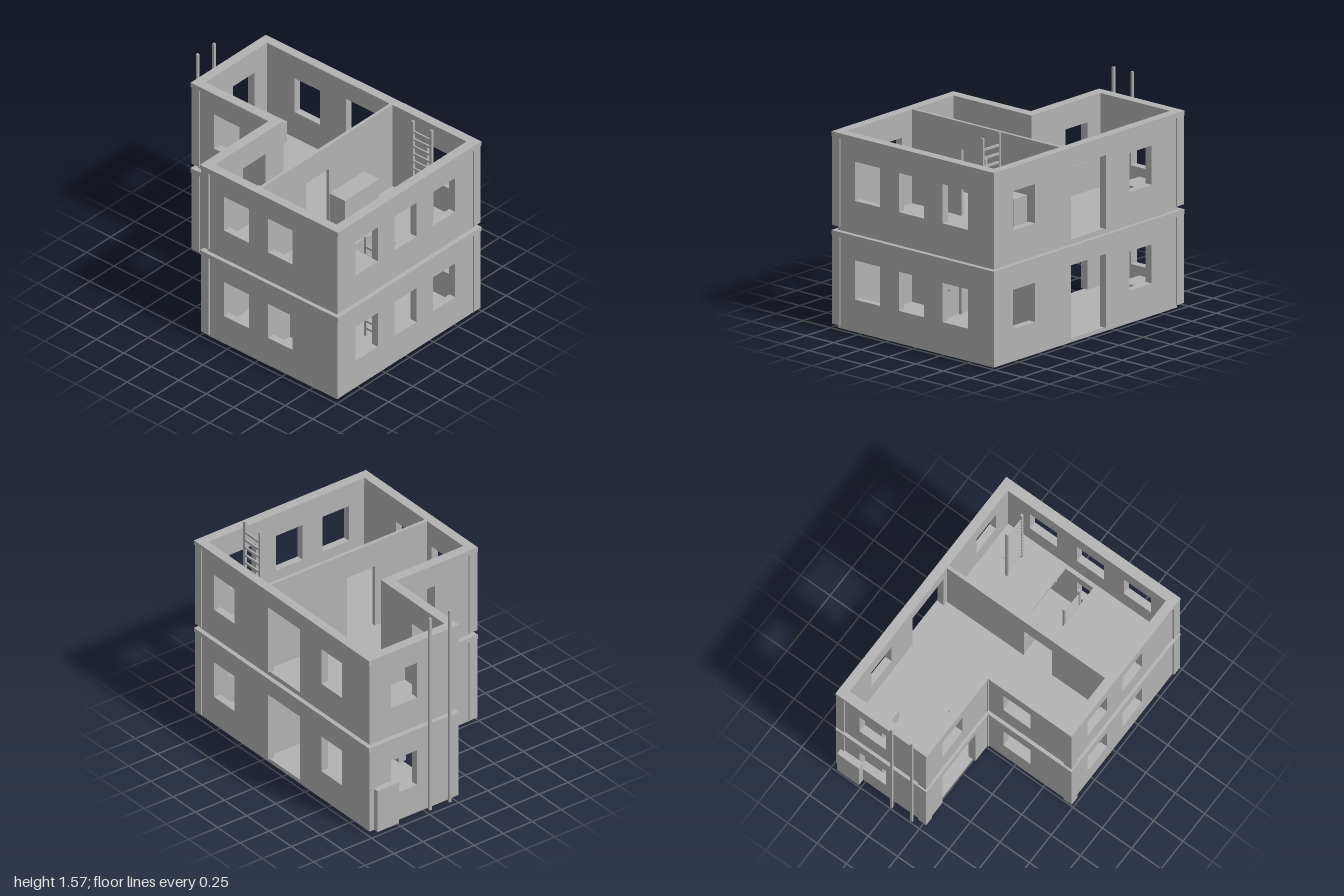
import * as THREE from 'three';

const concrete = new THREE.MeshStandardMaterial({ color: 0xb2b2b2 });
concrete.name = 'grey concrete';

const FLOORS = [0.03, 0.735]; // floor level of each storey
const WALL = 0.635;           // wall height below the top beam
const BEAM = 0.035;

function add(parent, name, geometry) {
  const mesh = new THREE.Mesh(geometry, concrete);
  mesh.name = name;
  parent.add(mesh);
  return mesh;
}

// Box given by its limits on each axis
function block(parent, name, x0, x1, y0, y1, z0, z1) {
  const mesh = add(parent, name, new THREE.BoxGeometry(x1 - x0, y1 - y0, z1 - z0));
  mesh.position.set((x0 + x1) / 2, (y0 + y1) / 2, (z0 + z1) / 2);
  return mesh;
}

// L-shaped plan, with the notch at the front right corner
function planPoints(x0, x1, z0, z1, nx, nz) {
  return [[x0, z0], [x0, nz], [nx, nz], [nx, z1], [x1, z1], [x1, z0]]
    .map(([x, z]) => new THREE.Vector2(x, -z));
}

function rectHole(u0, u1, v0, v1) {
  return new THREE.Path([[u0, v0], [u0, v1], [u1, v1], [u1, v0]].map((p) => new THREE.Vector2(...p)));
}

function slab(parent, name, points, y, height, hole) {
  const shape = new THREE.Shape(points);
  if (hole) shape.holes.push(hole);
  const geo = new THREE.ExtrudeGeometry(shape, { depth: height, bevelEnabled: false });
  geo.rotateX(-Math.PI / 2);
  add(parent, name, geo).position.y = y;
}

// Wall panel from u0 to u1 along 'x' or 'z', filling lo..hi across
function wall(parent, name, axis, u0, u1, lo, hi, y, { height = WALL, windows = [], door } = {}) {
  const pts = [[u0, 0]];
  if (door) pts.push([door[0], 0], [door[0], door[2]], [door[1], door[2]], [door[1], 0]);
  pts.push([u1, 0], [u1, height], [u0, height]);
  const shape = new THREE.Shape(pts.map((p) => new THREE.Vector2(...p)));
  for (const [a, b] of windows) shape.holes.push(rectHole(a, b, 0.21, 0.49));
  const geo = new THREE.ExtrudeGeometry(shape, { depth: hi - lo, bevelEnabled: false });
  if (axis === 'z') geo.rotateY(-Math.PI / 2);
  const mesh = add(parent, name, geo);
  if (axis === 'z') mesh.position.set(hi, y, 0);
  else mesh.position.set(0, y, lo);
}

// Ladder with two rails, rungs and small brackets towards the back
function ladder(parent, z, y0) {
  const g = new THREE.Group();
  g.name = 'ladder';
  for (const x of [0.617, 0.787]) {
    block(g, 'ladderRail', x, x + 0.018, y0, y0 + 0.815, z - 0.009, z + 0.009);
    block(g, 'ladderBracket', x + 0.004, x + 0.014, y0 + 0.3, y0 + 0.31, z - 0.044, z - 0.009);
  }
  for (let i = 1; i <= 12; i++) {
    const y = y0 + i * 0.0608;
    block(g, 'ladderRung', 0.635, 0.787, y - 0.008, y + 0.008, z - 0.006, z + 0.006);
  }
  parent.add(g);
}

export function createModel() {
  const model = new THREE.Group();
  model.name = 'twoStoreyHouse';

  FLOORS.forEach((y, level) => {
    const storey = new THREE.Group();
    storey.name = level ? 'upperStorey' : 'lowerStorey';
    model.add(storey);

    // Floor slab, with a ladder hatch upstairs
    const hatch = level ? rectHole(0.53, 0.9, -0.07, 0.17) : null;
    const thick = level ? 0.035 : 0.03;
    slab(storey, 'floorSlab', planPoints(-0.925, 0.965, -0.71, 0.71, -0.215, -0.005), y - thick, thick, hatch);

    // Outer walls, slightly behind the posts
    wall(storey, 'backWall', 'x', -0.89, 0.93, -0.73, -0.675, y,
      { windows: [[-0.64, -0.41], [0.565, 0.79]], door: [-0.17, 0.19, 0.53] });
    wall(storey, 'frontWall', 'x', -0.18, 0.93, 0.67, 0.725, y,
      { windows: [[-0.05, 0.175], [0.35, 0.575]] });
    wall(storey, 'leftWall', 'z', -0.675, 0.675, 0.93, 0.985, y,
      { windows: [[-0.49, -0.26], [-0.09, 0.14], [0.31, 0.54]] });
    wall(storey, 'rightWall', 'z', -0.675, -0.04, -0.95, -0.89, y, { windows: [[-0.545, -0.32]] });
    wall(storey, 'notchFrontWall', 'x', -0.89, -0.25, -0.04, 0.02, y,
      level ? { windows: [[-0.76, -0.53]] } : { door: [-0.76, -0.385, 0.53] });
    wall(storey, 'notchSideWall', 'z', 0.03, 0.67, -0.24, -0.18, y, { windows: [[0.15, 0.38]] });

    // Inner partition with a doorway
    wall(storey, 'partition', 'z', -0.675, 0.67, 0.225, 0.25, y,
      { height: WALL + BEAM, door: [-0.02, 0.22, 0.475] });

    // Corner posts
    for (const [x, z] of [[-0.96, -0.74], [0.927, -0.74], [0.927, 0.67], [-0.25, 0.67], [-0.25, -0.04], [-0.96, -0.04]]) {
      block(storey, 'cornerPost', x, x + 0.068, y, y + WALL, z, z + 0.068);
    }

    // Beam running round the top of the walls
    const inner = new THREE.Path(planPoints(-0.89, 0.925, -0.675, 0.67, -0.18, -0.04));
    slab(storey, 'topBeam', planPoints(-0.963, 1, -0.743, 0.74, -0.255, 0.033), y + WALL, BEAM, inner);
  });

  // Ladders to the upper floor and to the roof line
  ladder(model, 0.028, FLOORS[0]);
  ladder(model, -0.46, FLOORS[1]);

  // Crates and low cupboards
  const [g, u] = FLOORS;
  block(model, 'upperCupboard', 0.25, 0.39, u, 1.005, -0.38, -0.025);
  block(model, 'upperCrate', -0.45, -0.25, u, u + 0.16, -0.16, -0.04);
  block(model, 'upperSquareCrate', -0.85, -0.65, u, u + 0.16, -0.61, -0.43);
  block(model, 'lowerCupboard', 0.25, 0.39, g, 0.305, 0.24, 0.385);
  block(model, 'lowerInnerCupboard', 0.155, 0.225, g, 0.3, 0.24, 0.385);
  block(model, 'lowerCrate', -0.85, -0.65, g, 0.19, -0.61, -0.43);

  // Outside cabinet and upright poles on the right wall
  block(model, 'outsideCabinet', -1, -0.95, 0.03, 0.36, -0.7, -0.515);
  for (const z of [-0.25, -0.08]) block(model, 'outsidePole', -1, -0.982, 0.03, 1.575, z, z + 0.018);

  return model;
}
